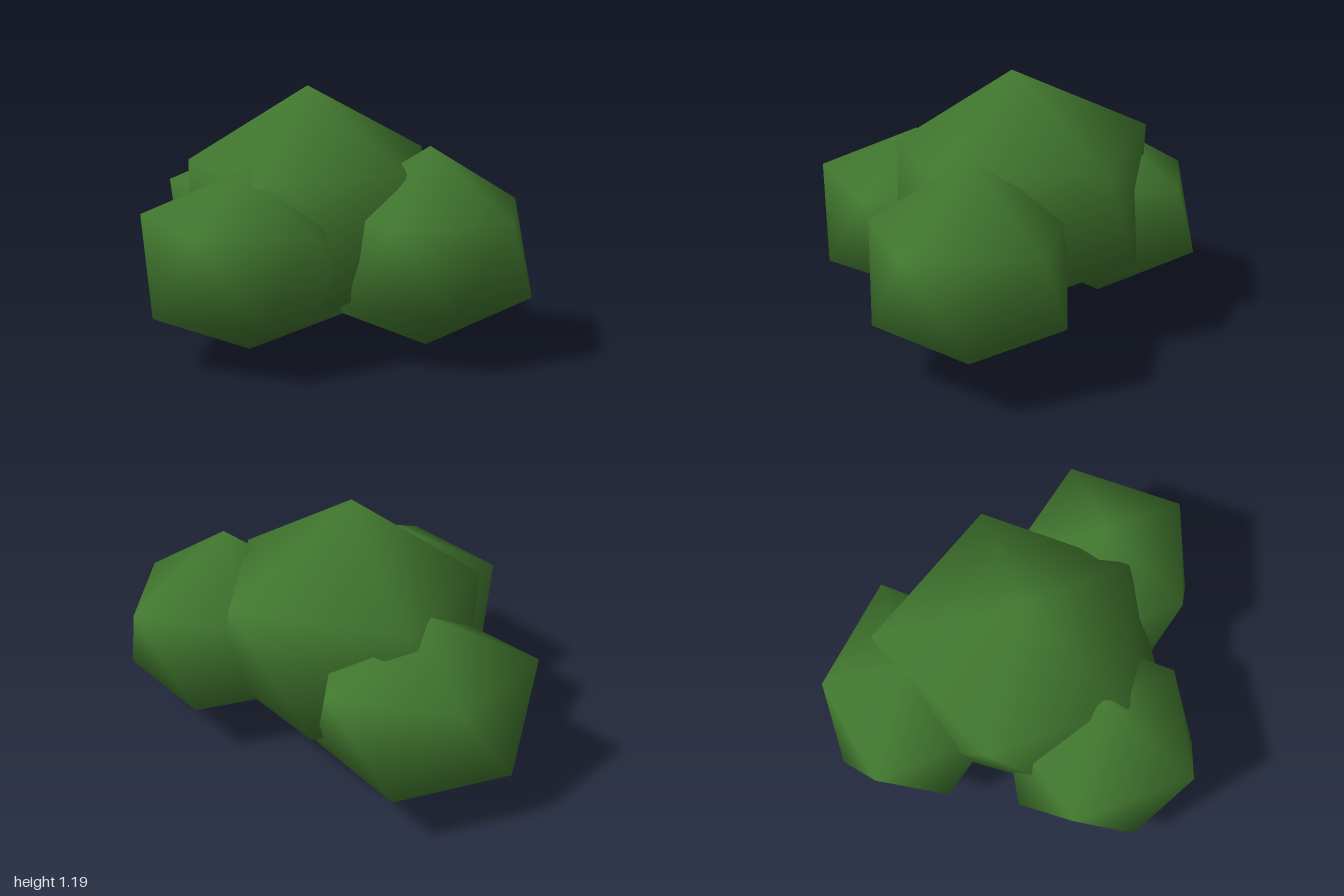
import * as THREE from 'three';

// Lumpy twelve-cornered leaf clump: two staggered rings of five corners between two poles.
// upper ring corners sit at 0, 72, 144... degrees from +x towards +z, lower ones 36 degrees later.
function clumpGeometry({ x, z, top, bottom, upperY, lowerY, upper, lower }) {
  const pos = [x, top, z];
  const ring = (radii, y, offset) => radii.forEach((r, i) => {
    const a = THREE.MathUtils.degToRad(offset + 72 * i);
    pos.push(x + r * Math.cos(a), y[i] ?? y[0], z + r * Math.sin(a));
  });
  ring(upper, upperY, 0);
  ring(lower, lowerY, 36);
  pos.push(x, bottom, z);

  const index = [];
  for (let i = 0; i < 5; i++) {
    const j = (i + 1) % 5;
    const u0 = 1 + i, u1 = 1 + j, l0 = 6 + i, l1 = 6 + j;
    index.push(0, u1, u0, u0, u1, l0, l0, u1, l1, 11, l0, l1);
  }
  const geometry = new THREE.BufferGeometry();
  geometry.setAttribute('position', new THREE.Float32BufferAttribute(pos, 3));
  geometry.setIndex(index);
  geometry.computeVertexNormals(); // shared corners give smooth shading
  return geometry;
}

const clumps = {
  centreClump: {
    x: -0.05, z: -0.13, top: 1.19, bottom: 0.03,
    upperY: [0.84, 0.81, 0.83, 0.875, 0.86], lowerY: [0.3, 0.33, 0.31, 0.33, 0.33],
    upper: [0.59, 0.56, 0.57, 0.68, 0.64], lower: [0.64, 0.6, 0.6, 0.59, 0.61],
  },
  leftClump: {
    x: 0.54, z: -0.3, top: 0.95, bottom: 0.03,
    upperY: [0.66, 0.65, 0.66, 0.66, 0.67], lowerY: [0.28, 0.26, 0.26, 0.25, 0.27],
    upper: [0.455, 0.44, 0.45, 0.45, 0.485], lower: [0.42, 0.484, 0.45, 0.43, 0.47],
  },
  rightClump: {
    x: -0.55, z: -0.33, top: 0.87, bottom: 0,
    upperY: [0.64, 0.64, 0.65, 0.63, 0.66], lowerY: [0.25],
    upper: [0.45, 0.45, 0.49, 0.415, 0.505], lower: [0.45, 0.455, 0.45, 0.46, 0.45],
  },
  frontClump: {
    x: 0.04, z: 0.34, top: 0.87, bottom: 0.045,
    upperY: [0.62, 0.65, 0.65, 0.64, 0.64], lowerY: [0.26, 0.25, 0.24, 0.25, 0.25],
    upper: [0.41, 0.484, 0.49, 0.45, 0.45], lower: [0.44, 0.46, 0.49, 0.45, 0.47],
  },
};

export function createModel() {
  const group = new THREE.Group();
  group.name = 'bush';
  const leaves = new THREE.MeshStandardMaterial({ color: 0x437a30 });
  leaves.name = 'leaf green';
  for (const [name, shape] of Object.entries(clumps)) {
    const mesh = new THREE.Mesh(clumpGeometry(shape), leaves);
    mesh.name = name;
    group.add(mesh);
  }
  return group;
}
